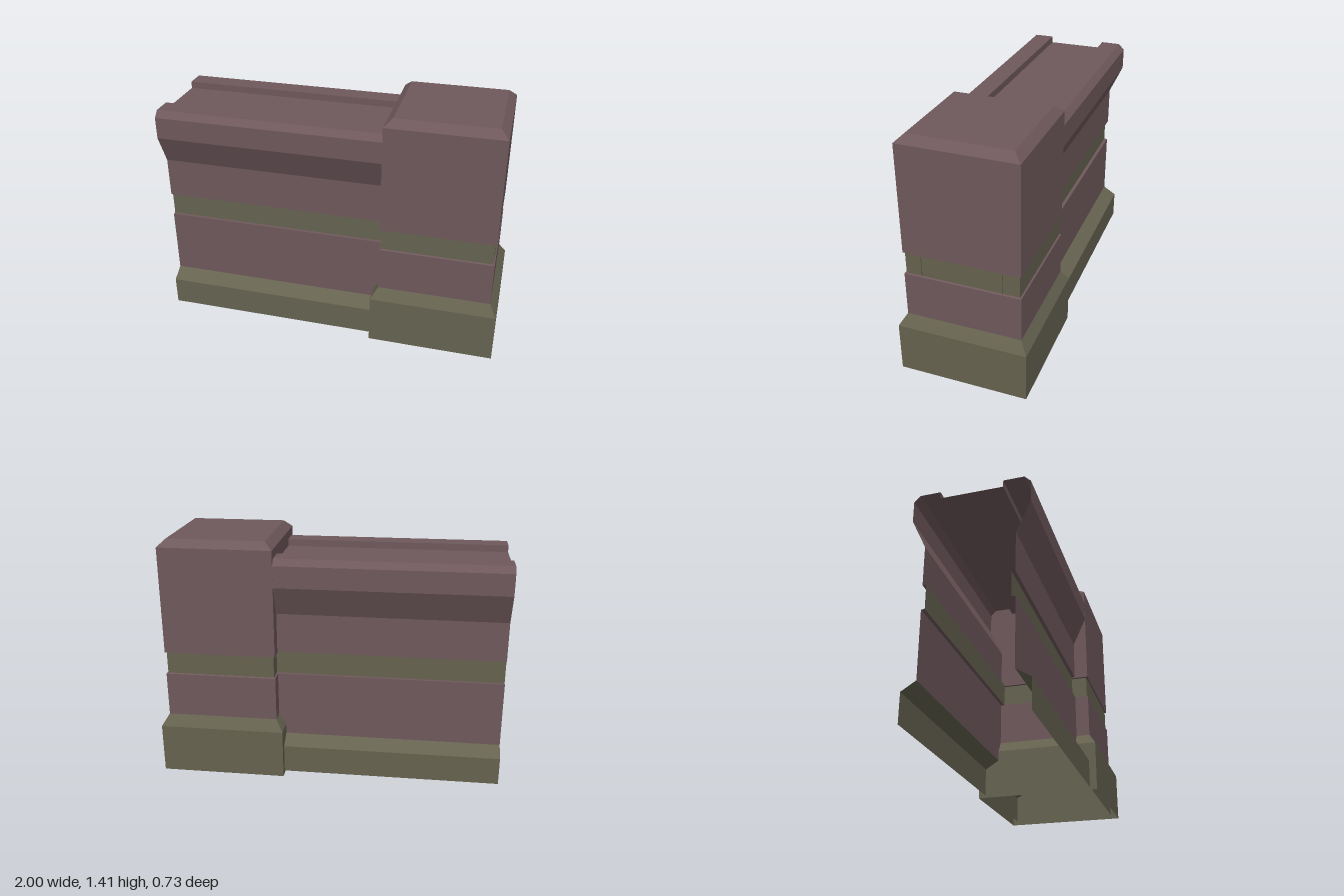
import * as THREE from 'three';

const stone = new THREE.MeshStandardMaterial({ color: 0x6e585b, side: THREE.DoubleSide });
stone.name = 'mauve stone';
const trim = new THREE.MeshStandardMaterial({ color: 0x65624f, side: THREE.DoubleSide });
trim.name = 'olive trim';

// Flat-shaded mesh from a list of quads, corners counter-clockwise from outside
function quadMesh(name, material, quads) {
  const pos = [];
  for (const [a, b, c, d] of quads) pos.push(...a, ...b, ...c, ...a, ...c, ...d);
  const geo = new THREE.BufferGeometry();
  geo.setAttribute('position', new THREE.Float32BufferAttribute(pos, 3));
  geo.computeVertexNormals();
  const mesh = new THREE.Mesh(geo, material);
  mesh.name = name;
  return mesh;
}

// Sweep a [z, y] profile along x as an open sheet
function sheet(name, material, profile, x0, x1) {
  const quads = [];
  for (let i = 0; i < profile.length - 1; i++) {
    const [za, ya] = profile[i], [zb, yb] = profile[i + 1];
    quads.push([[x0, ya, za], [x1, ya, za], [x1, yb, zb], [x0, yb, zb]]);
  }
  return quadMesh(name, material, quads);
}

// Stack of rectangles round the pillar; each ring is [y, inset from the shaft]
function rings(name, material, list, capped = false) {
  const corners = ([y, i]) => [
    [0.308 + i, y, 0.326 - i], [0.957 - i, y, 0.326 - i],
    [0.957 - i, y, -0.326 + i], [0.308 + i, y, -0.326 + i],
  ];
  const quads = [];
  for (let r = 0; r < list.length - 1; r++) {
    const lo = corners(list[r]), hi = corners(list[r + 1]);
    for (let k = 0; k < 4; k++) {
      const n = (k + 1) % 4;
      quads.push([lo[k], lo[n], hi[n], hi[k]]);
    }
  }
  if (capped) quads.push(corners(list[list.length - 1]));
  return quadMesh(name, material, quads);
}

export function createModel() {
  const model = new THREE.Group();
  model.name = 'wallEnd';

  // Hollow wall, running on through the pillar, open at the end and below
  const wall = new THREE.Group();
  wall.name = 'wall';
  const x0 = -1, x1 = 0.955;
  const parts = [
    ['Plinth', trim, [[0.325, 0.015], [0.325, 0.18], [0.245, 0.23]]],
    ['LowerPanel', stone, [[0.245, 0.23], [0.245, 0.615], [0.225, 0.615]]],
    ['Band', trim, [[0.225, 0.615], [0.225, 0.755]]],
    ['Cornice', stone, [[0.225, 0.755], [0.245, 0.755], [0.245, 0.985], [0.325, 1.16],
      [0.325, 1.285], [0.29, 1.32], [0.175, 1.32], [0.175, 1.28]]],
  ];
  for (const [name, material, profile] of parts) {
    const mirrored = profile.map(([z, y]) => [-z, y]).reverse();
    wall.add(sheet('front' + name, material, profile, x0, x1));
    wall.add(sheet('back' + name, material, mirrored, x0, x1));
  }
  wall.add(sheet('topChannel', stone, [[0.175, 1.28], [-0.175, 1.28]], x0, x1));
  model.add(wall);

  // Hollow pillar, open below
  const pillar = new THREE.Group();
  pillar.name = 'pillar';
  pillar.add(
    rings('pillarBase', trim, [[0, -0.041], [0.29, -0.041], [0.357, 0]]),
    rings('pillarLowerShaft', stone, [[0.357, 0], [0.615, 0], [0.619, 0.009]]),
    rings('pillarBand', trim, [[0.619, 0.009], [0.745, 0.009]]),
    rings('pillarHead', stone, [[0.745, 0.009], [0.748, 0], [1.37, 0], [1.412, 0.045]], true),
  );
  model.add(pillar);
  return model;
}
